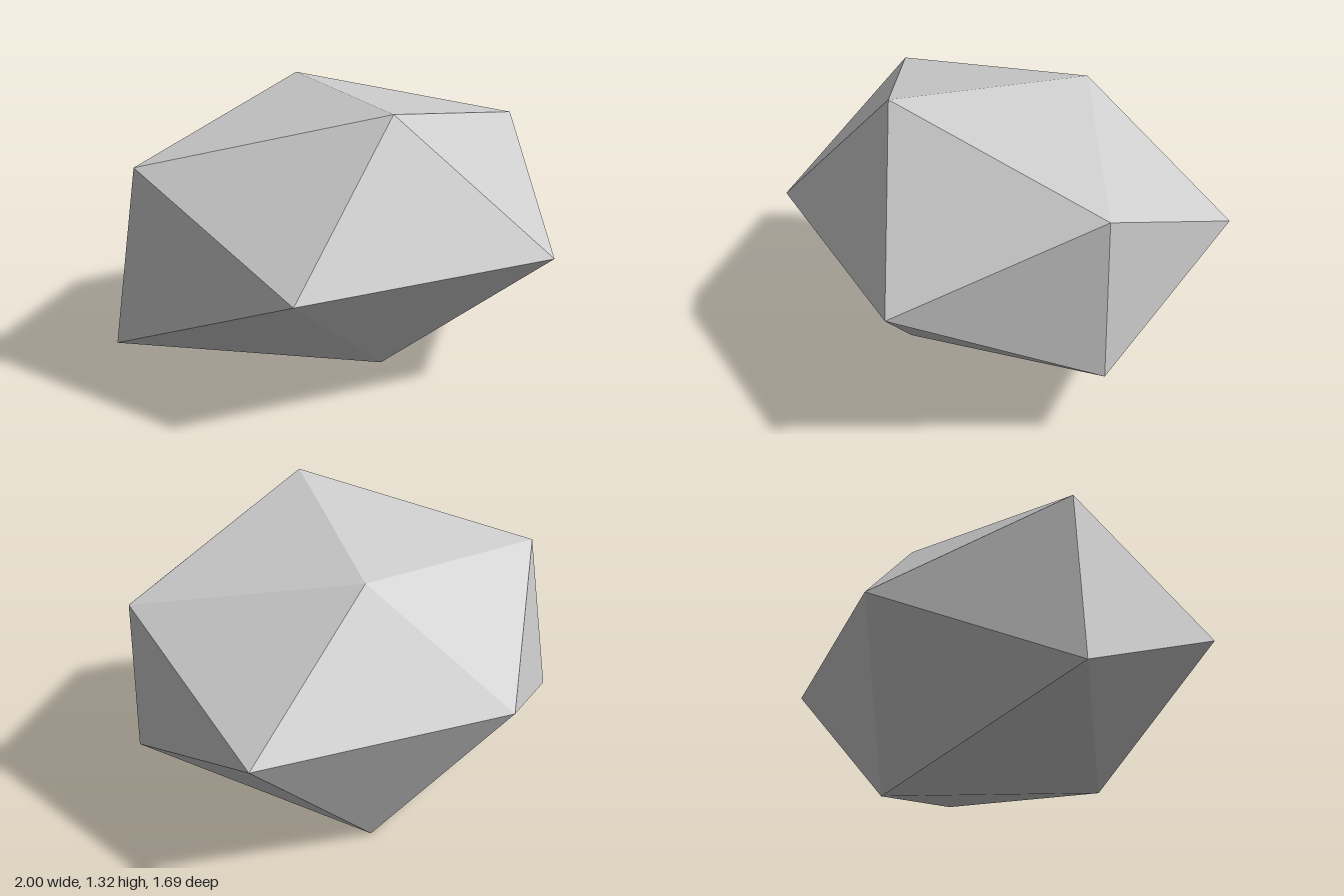
import * as THREE from 'three';
import { ConvexGeometry } from 'three/addons/geometries/ConvexGeometry.js';

export function createModel() {
  const group = new THREE.Group();
  group.name = 'facetedRock';

  const stone = new THREE.MeshStandardMaterial({ color: 0xcccccc });
  stone.name = 'pale grey stone';

  // Twelve corners of an uneven icosahedron, as three rings of four
  const corners = [
    // upright ring: top and bottom ridges
    [0.08, 1.32, 0.52], [0.08, 1.23, -0.46], [0.08, 0.125, 0.45], [0.08, 0, -0.56],
    // side ring: right and left edges
    [-0.88, 1.06, -0.005], [-1, 0.25, -0.005], [0.99, 1.04, -0.005], [1, 0.315, -0.005],
    // waist ring: front and back edges
    [-0.5, 0.68, 0.795], [0.7, 0.68, 0.845], [-0.48, 0.68, -0.785], [0.69, 0.68, -0.845],
  ].map((p) => new THREE.Vector3(...p));

  // Flat-sided hull through the corners
  const rock = new THREE.Mesh(new ConvexGeometry(corners), stone);
  rock.name = 'rock';
  group.add(rock);
  return group;
}
